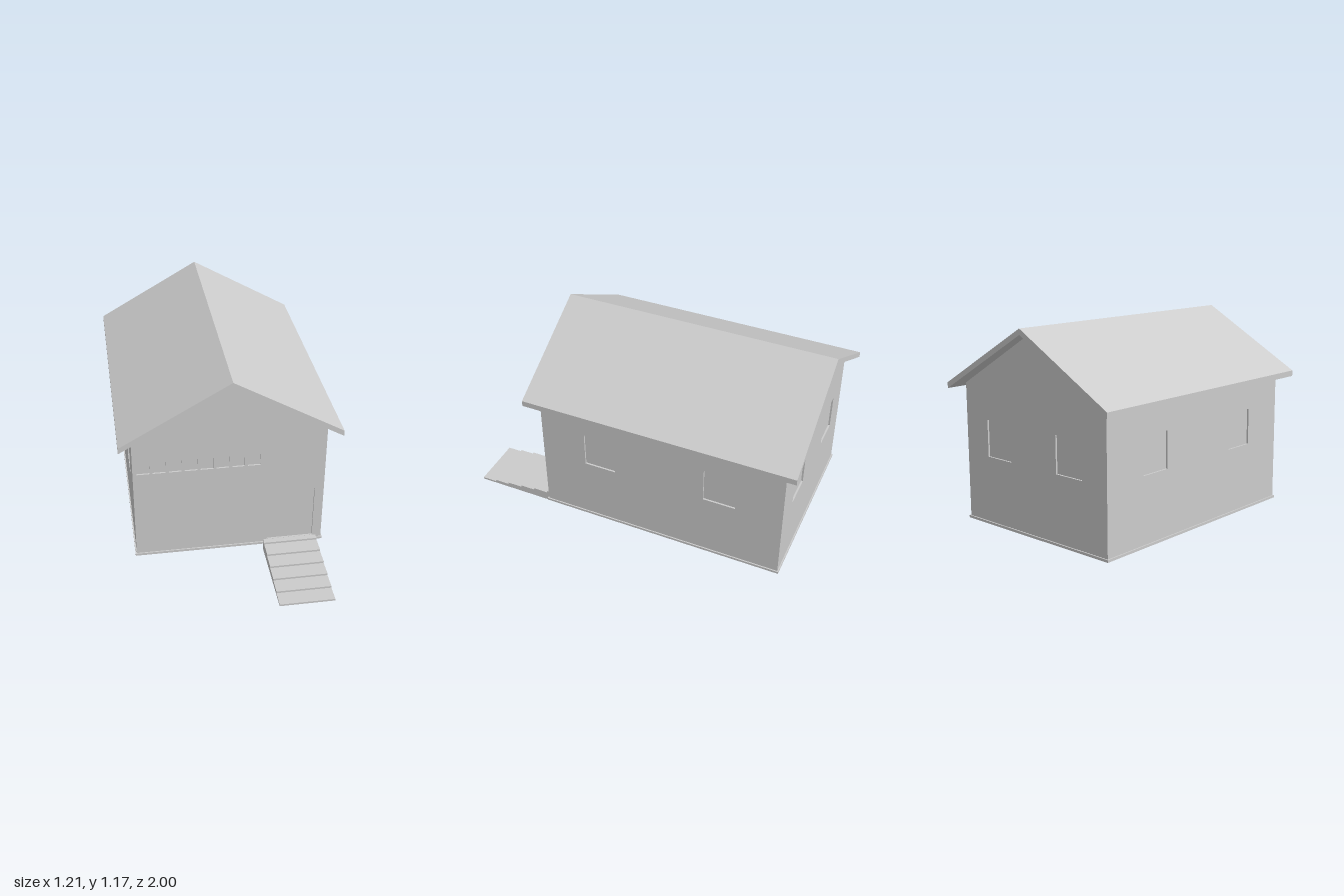
import * as THREE from 'three';

const grey = new THREE.MeshStandardMaterial({ color: 0xcccccc, side: THREE.DoubleSide, flatShading: true });

const FRONT = 0.512, BACK = -0.93, MID = (FRONT + BACK) / 2;
const HALF_W = 0.535, HALF_L = (FRONT - BACK) / 2;
const FLOOR = 0.04, EAVE = 0.818, PEAK = 1.133;
const RECESS = 0.01;

const toShape = (pts) => new THREE.Shape(pts.map(([x, y]) => new THREE.Vector2(x, y)));
const rect = (x0, y0, x1, y1) => [[x0, y0], [x1, y0], [x1, y1], [x0, y1]];

function addMesh(parent, name, geometry) {
  const mesh = new THREE.Mesh(geometry, grey);
  mesh.name = name;
  parent.add(mesh);
  return mesh;
}

// Single-skin wall with shallow recessed panels; openings are [name, x0, y0, x1, y1]
function makeWall(name, outline, openings) {
  const wall = new THREE.Group();
  wall.name = name;
  const shape = toShape(outline);
  for (const [panelName, x0, y0, x1, y1] of openings) {
    shape.holes.push(toShape(rect(x0, y0, x1, y1)));
    // Box tray without its outward face
    const tray = new THREE.BoxGeometry(x1 - x0, y1 - y0, RECESS);
    const index = Array.from(tray.index.array);
    index.splice(24, 6);
    tray.setIndex(index);
    tray.clearGroups();
    tray.translate((x0 + x1) / 2, (y0 + y1) / 2, -RECESS / 2);
    addMesh(wall, panelName, tray);
  }
  addMesh(wall, name + 'Skin', new THREE.ShapeGeometry(shape));
  return wall;
}

export function createModel() {
  const house = new THREE.Group();
  house.name = 'house';

  const gable = [[-HALF_W, FLOOR], [HALF_W, FLOOR], [HALF_W, EAVE], [0, PEAK], [-HALF_W, EAVE]];
  const side = rect(-HALF_L, FLOOR, HALF_L, EAVE);
  const pair = (centre) => [-1, 1].map((s) =>
    ['window', s * centre - 0.094, 0.425, s * centre + 0.094, 0.632]);

  // Front wall: row of small windows and a door
  const frontOpenings = [['door', 0.217, 0.068, 0.483, 0.405]];
  for (let i = 0; i < 8; i++) {
    const x = -0.512 + i * 0.0871;
    frontOpenings.push(['smallWindow', x, 0.595, x + 0.07, 0.668]);
  }
  const front = makeWall('frontWall', gable, frontOpenings);
  front.position.z = FRONT;

  // Back wall
  const back = makeWall('backWall', gable, pair(0.268));
  back.rotation.y = Math.PI;
  back.position.z = BACK;
  house.add(front, back);

  // Side walls
  for (const s of [1, -1]) {
    const wall = makeWall(s > 0 ? 'leftWall' : 'rightWall', side, pair(0.36));
    wall.rotation.y = s * Math.PI / 2;
    wall.position.set(s * HALF_W, 0, MID);
    house.add(wall);
  }

  // Base trim: a thin frame around the foot of the walls
  const lip = 0.007;
  const trimShape = toShape(rect(-HALF_W - lip, -HALF_L - lip, HALF_W + lip, HALF_L + lip));
  trimShape.holes.push(toShape(rect(-HALF_W, -HALF_L, HALF_W, HALF_L)));
  const trim = addMesh(house, 'baseTrim',
    new THREE.ExtrudeGeometry(trimShape, { depth: 0.014, bevelEnabled: false }));
  trim.rotation.x = -Math.PI / 2;
  trim.position.set(0, FLOOR, MID);

  // Roof: one chevron section run along the ridge
  const roofShape = toShape([[-0.607, 0.787], [0, PEAK], [0.607, 0.787], [0.607, 0.82], [0, 1.166], [-0.607, 0.82]]);
  const roof = addMesh(house, 'roof',
    new THREE.ExtrudeGeometry(roofShape, { depth: 1.58, bevelEnabled: false }));
  roof.position.z = -1;

  // Front steps: stair profile (z, y) extruded across the width
  const steps = 6, rise = 0.0112, run = 0.091;
  const profile = [[FRONT, 0], [1, 0]];
  for (let i = 0; i < steps; i++) {
    const z = 1 - i * run, zNext = i === steps - 1 ? FRONT : z - run;
    profile.push([z, (i + 1) * rise], [zNext, (i + 1) * rise]);
  }
  const stairs = addMesh(house, 'frontSteps',
    new THREE.ExtrudeGeometry(toShape(profile), { depth: 0.308, bevelEnabled: false }));
  stairs.rotation.y = -Math.PI / 2;
  stairs.position.x = 0.504;

  return house;
}
